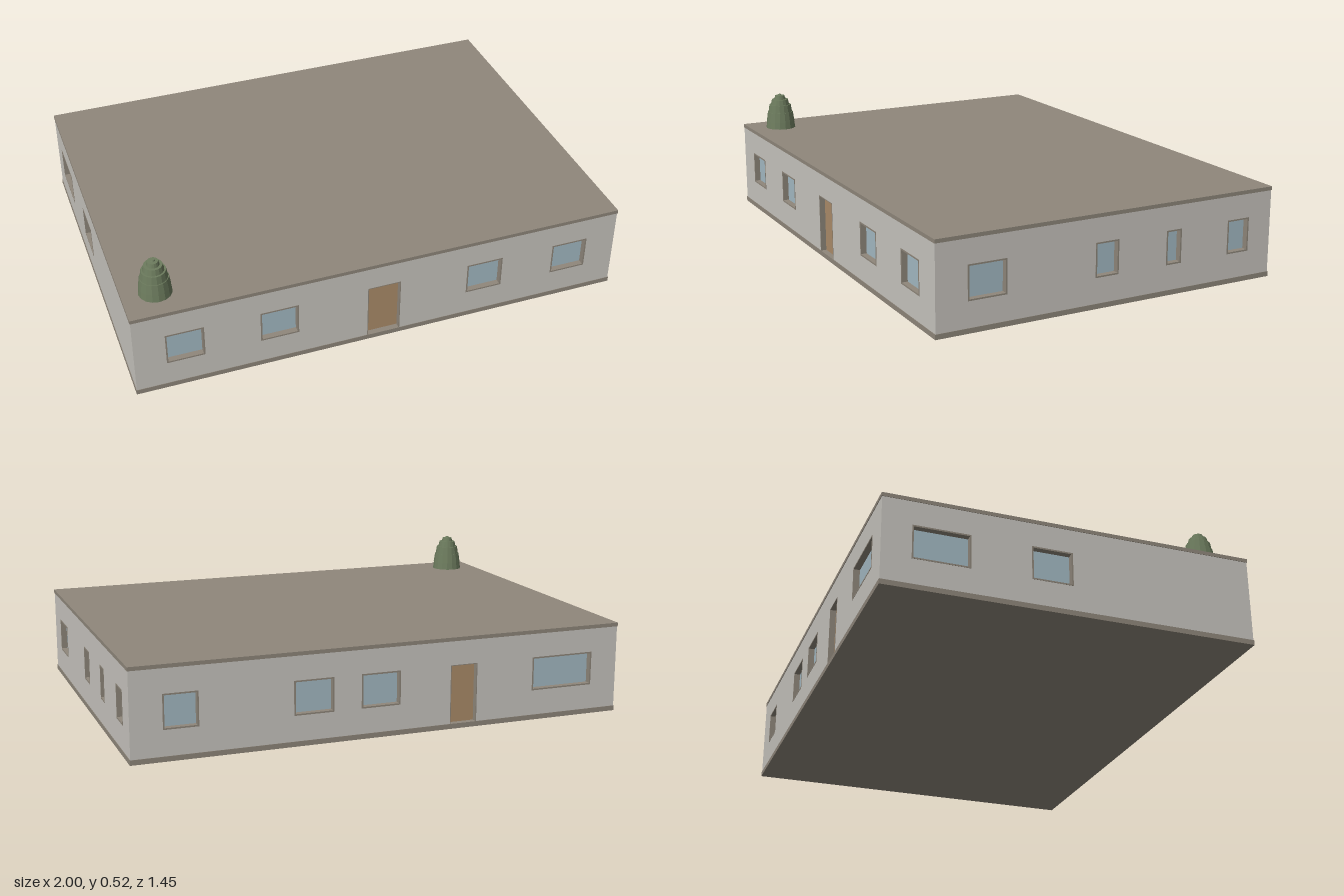
import * as THREE from 'three';

const mat = (name, color, opts = {}) => {
  const m = new THREE.MeshStandardMaterial({ color, ...opts });
  m.name = name;
  return m;
};

export function createModel() {
  const M = {
    wall: mat('wall plaster', 0xc8c5bf),
    trim: mat('stone trim', 0x8f877b),
    glass: mat('window glass', 0xa4bac4),
    door: mat('door wood', 0xab8c69),
    leaf: mat('foliage', 0x6d7c5e, { flatShading: true }),
  };
  const house = new THREE.Group();
  house.name = 'house';
  const add = (parent, name, geo, material, x = 0, y = 0, z = 0) => {
    const mesh = new THREE.Mesh(geo, material);
    mesh.name = name;
    mesh.position.set(x, y, z);
    parent.add(mesh);
    return mesh;
  };

  const HX = 1, HZ = 0.725, BASE = 0.02, EAVE = 0.35, TOP = 0.365;
  const INSET = 0.002, THICK = 0.026, WIN_LOW = 0.12, WIN_TOP = 0.255;

  // Floor and roof slabs
  add(house, 'floorSlab', new THREE.BoxGeometry(2 * HX, BASE, 2 * HZ), M.trim, 0, BASE / 2);
  add(house, 'roofSlab', new THREE.BoxGeometry(2 * HX, TOP - EAVE, 2 * HZ), M.trim, 0, (TOP + EAVE) / 2);

  const points = (list) => list.map(([x, y]) => new THREE.Vector2(x, y));
  const rect = (a, b, low, high) => points([[a, low], [b, low], [b, high], [a, high]]);
  const extrude = (shape, depth) => new THREE.ExtrudeGeometry(shape, { depth, bevelEnabled: false });

  // One wall in its own frame (u to the viewer's right, z outward), with recessed openings
  function addWall(name, angle, half, distance, windows, door) {
    const side = new THREE.Group();
    side.name = name;
    side.rotation.y = angle;
    house.add(side);
    const back = distance - INSET - THICK;

    const notch = door
      ? [[door[0], BASE], [door[0], WIN_TOP], [door[1], WIN_TOP], [door[1], BASE]] : [];
    const panel = new THREE.Shape(points([[-half, BASE], ...notch, [half, BASE], [half, EAVE], [-half, EAVE]]));
    windows.forEach(([a, b]) => panel.holes.push(new THREE.Path(rect(a, b, WIN_LOW, WIN_TOP))));
    add(side, name + 'Panel', extrude(panel, THICK), M.wall, 0, 0, back);

    // Thin frame lining each window, with glass set deep inside
    const f = 0.006;
    windows.forEach(([a, b]) => {
      const ring = new THREE.Shape(rect(a, b, WIN_LOW, WIN_TOP));
      ring.holes.push(new THREE.Path(rect(a + f, b - f, WIN_LOW + f, WIN_TOP - f)));
      add(side, 'windowFrame', extrude(ring, THICK), M.trim, 0, 0, back + 0.001);
      add(side, 'windowGlass', new THREE.BoxGeometry(b - a, WIN_TOP - WIN_LOW, 0.006), M.glass,
        (a + b) / 2, (WIN_LOW + WIN_TOP) / 2, back);
    });

    // Door leaf with a slim surround
    if (door) {
      const [a, b] = door, t = 0.003;
      const surround = new THREE.Shape(points([
        [a, BASE], [a + t, BASE], [a + t, WIN_TOP - t], [b - t, WIN_TOP - t],
        [b - t, BASE], [b, BASE], [b, WIN_TOP], [a, WIN_TOP]]));
      add(side, 'doorFrame', extrude(surround, THICK), M.trim, 0, 0, back + 0.001);
      add(side, 'doorLeaf', new THREE.BoxGeometry(b - a, WIN_TOP - BASE, 0.008), M.door,
        (a + b) / 2, (WIN_TOP + BASE) / 2, back);
    }
  }

  const halfX = HX - INSET, halfZ = HZ - INSET - THICK;
  addWall('frontWall', 0, halfX, HZ,
    [[-0.875, -0.725], [-0.505, -0.352], [0.348, 0.5], [0.72, 0.872]], [-0.07, 0.066]);
  addWall('backWall', Math.PI, halfX, HZ,
    [[-0.875, -0.74], [-0.375, -0.215], [-0.105, 0.055], [0.62, 0.885]], [0.265, 0.378]);
  addWall('leftWall', Math.PI / 2, halfZ, HX,
    [[-0.597, -0.44], [-0.073, 0.027], [0.238, 0.306], [0.52, 0.62]]);
  addWall('rightWall', -Math.PI / 2, halfZ, HX,
    [[-0.61, -0.39], [-0.16, 0.0]]);

  // Stepped shrub on the roof corner: [bottom radius, top radius, bottom y, top y]
  const shrub = new THREE.Group();
  shrub.name = 'shrub';
  shrub.position.set(-0.87, 0, 0.592);
  house.add(shrub);
  [
    [0.065, 0.061, TOP, 0.396],
    [0.062, 0.056, 0.396, 0.437],
    [0.053, 0.048, 0.437, 0.47],
    [0.041, 0.036, 0.47, 0.494],
    [0.025, 0.021, 0.494, 0.511],
    [0.009, 0.006, 0.511, 0.517],
  ].forEach(([r0, r1, y0, y1]) =>
    add(shrub, 'shrubTier', new THREE.CylinderGeometry(r1, r0, y1 - y0, 16), M.leaf, 0, (y0 + y1) / 2));

  return house;
}
